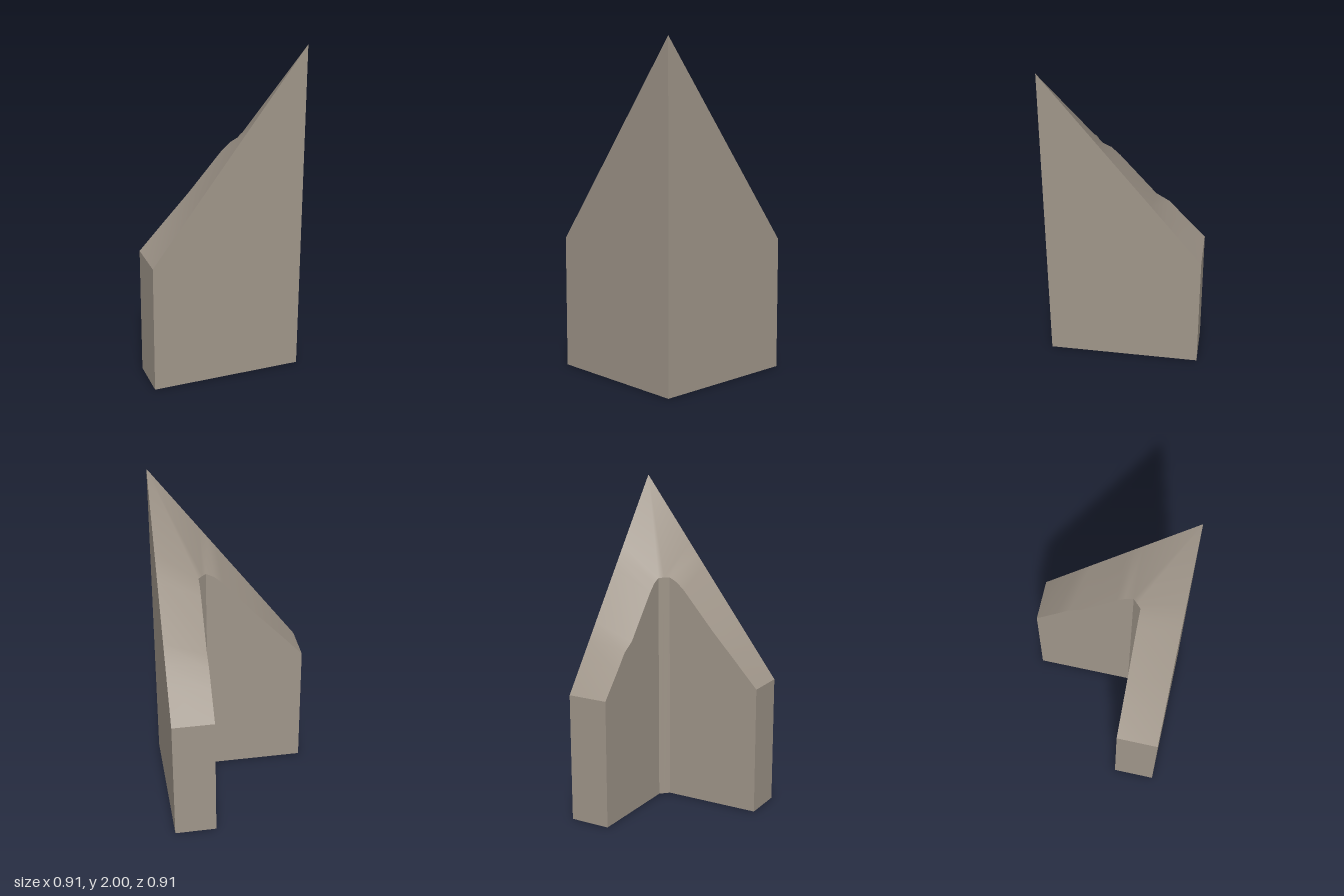
import * as THREE from 'three';

const R = 0.453;      // half width of the footprint
const INNER = 0.2;    // inner wall line of each arm
const END = 0.79;     // height at the arm ends
const PEAK = 2;       // height at the outer corner

// Height of the straight outer roof edge along an arm
const edgeHeight = s => END + (PEAK - END) * (s + R) / (2 * R);

// Inner roof edge as [distance along arm, height]
const frontProfile = [[-R, END], [-0.3, 0.955], [-0.15, 1.115], [0.05, 1.345], [0.1, 1.39], [0.15, 1.415]];
const sideProfile = [[-R, END], [-0.32, 0.94], [-0.24, 1.035], [-0.16, 1.085], [0.05, 1.34], [0.1, 1.39], [0.15, 1.415]];

// Pairs of outer and inner roof points, from one arm end round the corner to the other
function crossSections() {
  const front = frontProfile.map(([s, h]) => [[s, edgeHeight(s), R], [s, h, INNER]]);
  const corner = [[R, PEAK, R], [0.175, 1.416, 0.175]];
  const side = sideProfile.map(([s, h]) => [[R, edgeHeight(s), s], [INNER, h, s]]).reverse();
  return [...front, corner, ...side];
}

function buildGeometry(points, index) {
  const geometry = new THREE.BufferGeometry();
  geometry.setAttribute('position', new THREE.Float32BufferAttribute(points.flat(), 3));
  if (index) geometry.setIndex(index);
  geometry.computeVertexNormals();
  return geometry;
}

// Strip joining successive outer and inner points
function strip(rows, faceDown) {
  const index = [];
  for (let i = 0; i < rows.length - 1; i++) {
    const a = 2 * i, b = a + 1, c = a + 2, d = a + 3;
    if (faceDown) index.push(a, d, c, a, b, d);
    else index.push(a, c, d, a, d, b);
  }
  return buildGeometry(rows.flat(), index);
}

export function createModel() {
  const group = new THREE.Group();
  group.name = 'cornerWall';
  const stone = new THREE.MeshStandardMaterial({ color: 0xa0968a });
  stone.name = 'warm grey stone';
  const add = (name, geometry) => {
    const mesh = new THREE.Mesh(geometry, stone);
    mesh.name = name;
    group.add(mesh);
  };

  const rows = crossSections();
  const drop = ([x, , z]) => [x, 0, z];

  // Smooth sloping top and flat underside
  add('slopedTop', strip(rows, false));
  add('underside', strip(rows.map(row => row.map(drop)), true));

  // Upright walls round the whole footprint, flat faced
  const loop = [...rows.map(r => r[0]), ...rows.map(r => r[1]).reverse()];
  const walls = [];
  loop.forEach((p, i) => {
    const q = loop[(i + 1) % loop.length];
    walls.push(drop(p), drop(q), q, drop(p), q, p);
  });
  add('walls', buildGeometry(walls));

  return group;
}
